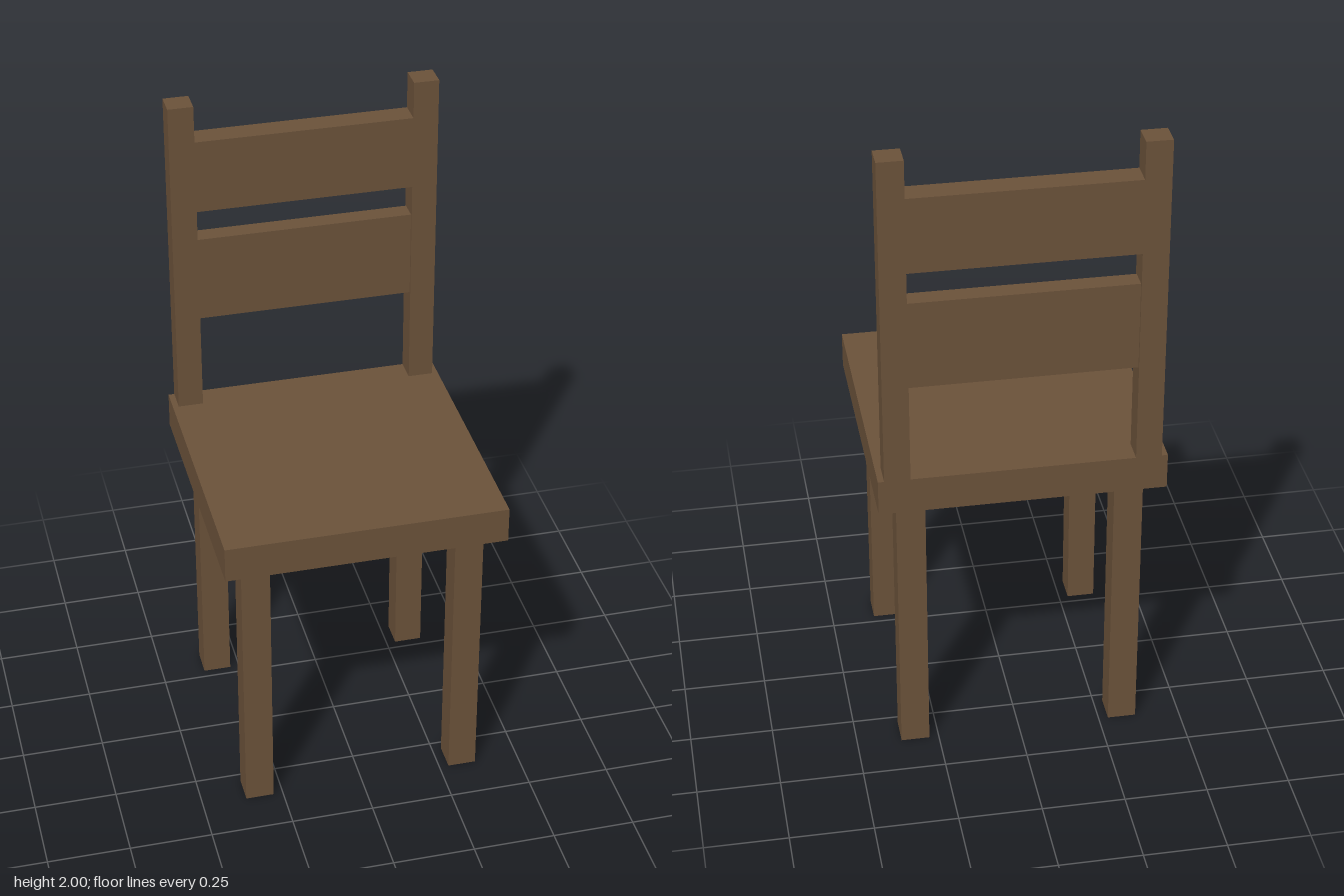
import * as THREE from 'three';

export function createModel() {
  const chair = new THREE.Group();
  chair.name = 'chair';
  const wood = new THREE.MeshStandardMaterial({ color: 0x6b523a });
  wood.name = 'brown wood';

  // Box given by its minimum and maximum corners
  function addBox(name, [x0, y0, z0], [x1, y1, z1]) {
    const mesh = new THREE.Mesh(new THREE.BoxGeometry(x1 - x0, y1 - y0, z1 - z0), wood);
    mesh.name = name;
    mesh.position.set((x0 + x1) / 2, (y0 + y1) / 2, (z0 + z1) / 2);
    chair.add(mesh);
  }

  const seatHalf = 0.422, seatBottom = 0.88, seatTop = 0.99;
  const postInner = 0.328, postOuter = 0.404, postFront = -0.348;

  // Seat
  addBox('seat', [-seatHalf, seatBottom, -seatHalf], [seatHalf, seatTop, seatHalf]);

  for (const [side, s] of [['left', 1], ['right', -1]]) {
    // Legs, set in from the seat edges
    const legX = s * 0.322, legHalf = 0.043;
    for (const [end, z] of [['Front', 0.322], ['Back', -0.322]]) {
      addBox(`${side}${end}Leg`,
        [legX - legHalf, 0, z - legHalf], [legX + legHalf, seatBottom, z + legHalf]);
    }
    // Back posts, flush with the rear of the seat
    const xs = [s * postInner, s * postOuter].sort((a, b) => a - b);
    addBox(`${side}BackPost`, [xs[0], seatTop, -seatHalf], [xs[1], 2, postFront]);
  }

  // Upper rail is flush with the posts, lower rail slightly thinner
  addBox('upperBackRail', [-postInner, 1.658, -seatHalf], [postInner, 1.886, postFront]);
  addBox('lowerBackRail', [-postInner, 1.29, -seatHalf + 0.008], [postInner, 1.56, postFront - 0.008]);

  return chair;
}
